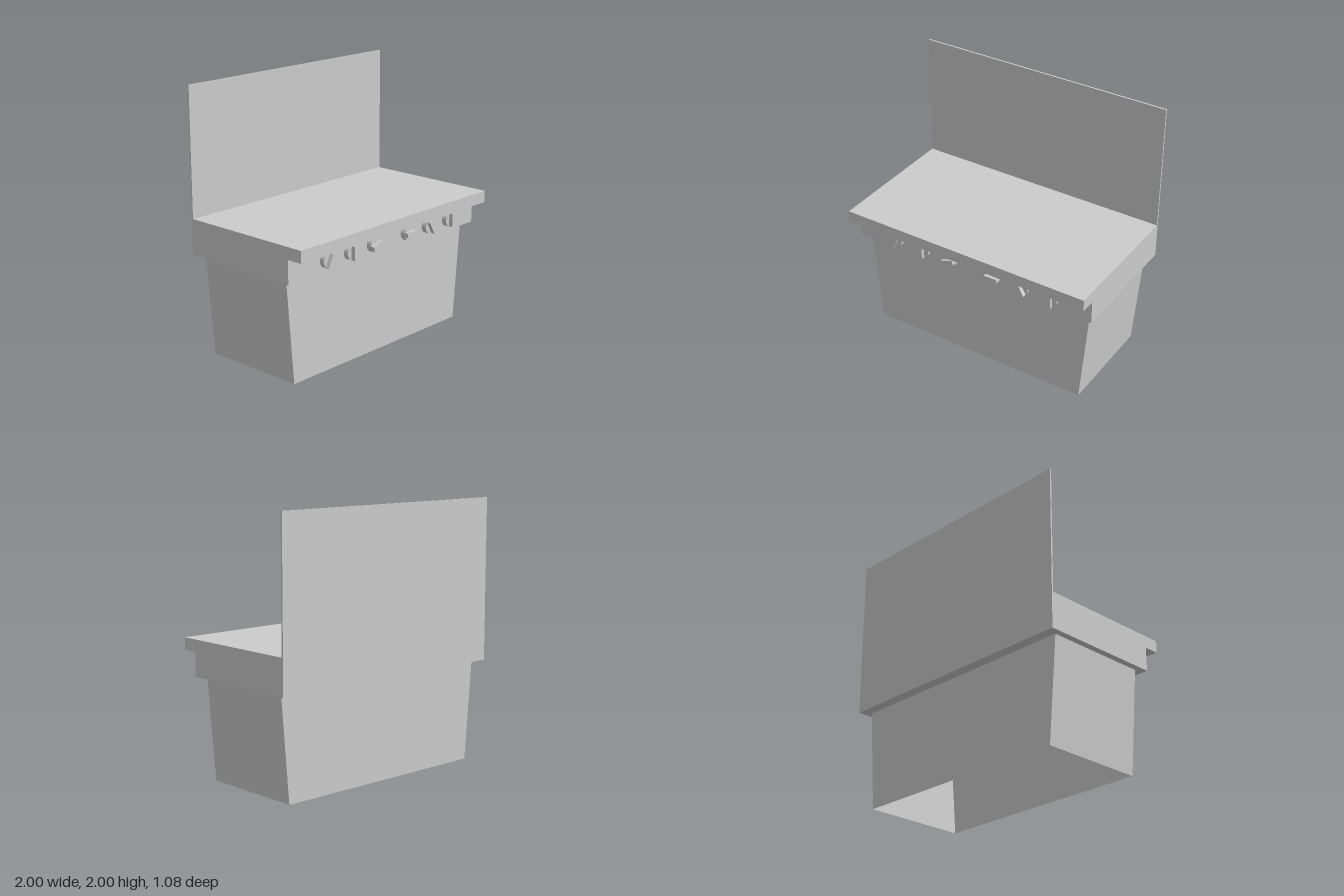
import * as THREE from 'three';

const grey = new THREE.MeshStandardMaterial({ color: 0xcccccc });
const greyDouble = new THREE.MeshStandardMaterial({ color: 0xcccccc, side: THREE.DoubleSide });

function addMesh(parent, name, geometry, material = grey) {
  const mesh = new THREE.Mesh(geometry, material);
  mesh.name = name;
  parent.add(mesh);
  return mesh;
}

// Countertop, control fascia and thin backsplash share one side profile (z, y)
function counterGeometry() {
  const profile = new THREE.Shape([
    [-0.54, 0.77], [0.42, 0.77], [0.42, 0.95], [0.54, 0.95],
    [0.54, 1.04], [-0.527, 1.04], [-0.527, 2], [-0.54, 2],
  ].map(([z, y]) => new THREE.Vector2(z, y)));
  return new THREE.ExtrudeGeometry(profile, { depth: 2, bevelEnabled: false })
    .rotateY(-Math.PI / 2)
    .translate(1, 0, 0);
}

// Tapered cabinet shell: four walls only, open underneath
function cabinetGeometry() {
  const geo = new THREE.BoxGeometry(2, 0.77, 0.81).translate(0, 0.385, -0.055);
  const pos = geo.attributes.position;
  for (let i = 0; i < pos.count; i++) {
    const halfWidth = pos.getY(i) > 0.1 ? 0.95 : 0.885;
    pos.setX(i, Math.sign(pos.getX(i)) * halfWidth);
  }
  // drop the top and bottom faces
  const index = Array.from(geo.index.array);
  index.splice(12, 12);
  geo.setIndex(index);
  geo.clearGroups();
  geo.computeVertexNormals();
  return geo;
}

// Round dial with a raised grip bar whose ends follow the rim
function makeKnob(x, degrees) {
  const radius = 0.055;
  const knob = new THREE.Group();
  knob.name = 'knob';
  addMesh(knob, 'knobDial',
    new THREE.CylinderGeometry(radius, radius, 0.04, 32).rotateX(Math.PI / 2).translate(0, 0, 0.02));

  const a = Math.asin(0.018 / radius);
  const bar = new THREE.Shape();
  bar.absarc(0, 0, radius, -a, a, false);
  bar.absarc(0, 0, radius, Math.PI - a, Math.PI + a, false);
  bar.closePath();
  addMesh(knob, 'knobGrip',
    new THREE.ExtrudeGeometry(bar, { depth: 0.03, bevelEnabled: false, curveSegments: 6 }).translate(0, 0, 0.04));

  knob.position.set(x, 0.865, 0.42);
  knob.rotation.z = THREE.MathUtils.degToRad(degrees);
  return knob;
}

export function createModel() {
  const model = new THREE.Group();
  model.name = 'stove';

  addMesh(model, 'counterAndBacksplash', counterGeometry());
  addMesh(model, 'cabinet', cabinetGeometry(), greyDouble);

  // Control knobs, each turned to its own angle
  const knobs = [[-0.64, 65], [-0.4, 90], [-0.16, 20], [0.21, 2], [0.45, 120], [0.69, 90]];
  for (const [x, degrees] of knobs) model.add(makeKnob(x, degrees));

  return model;
}
